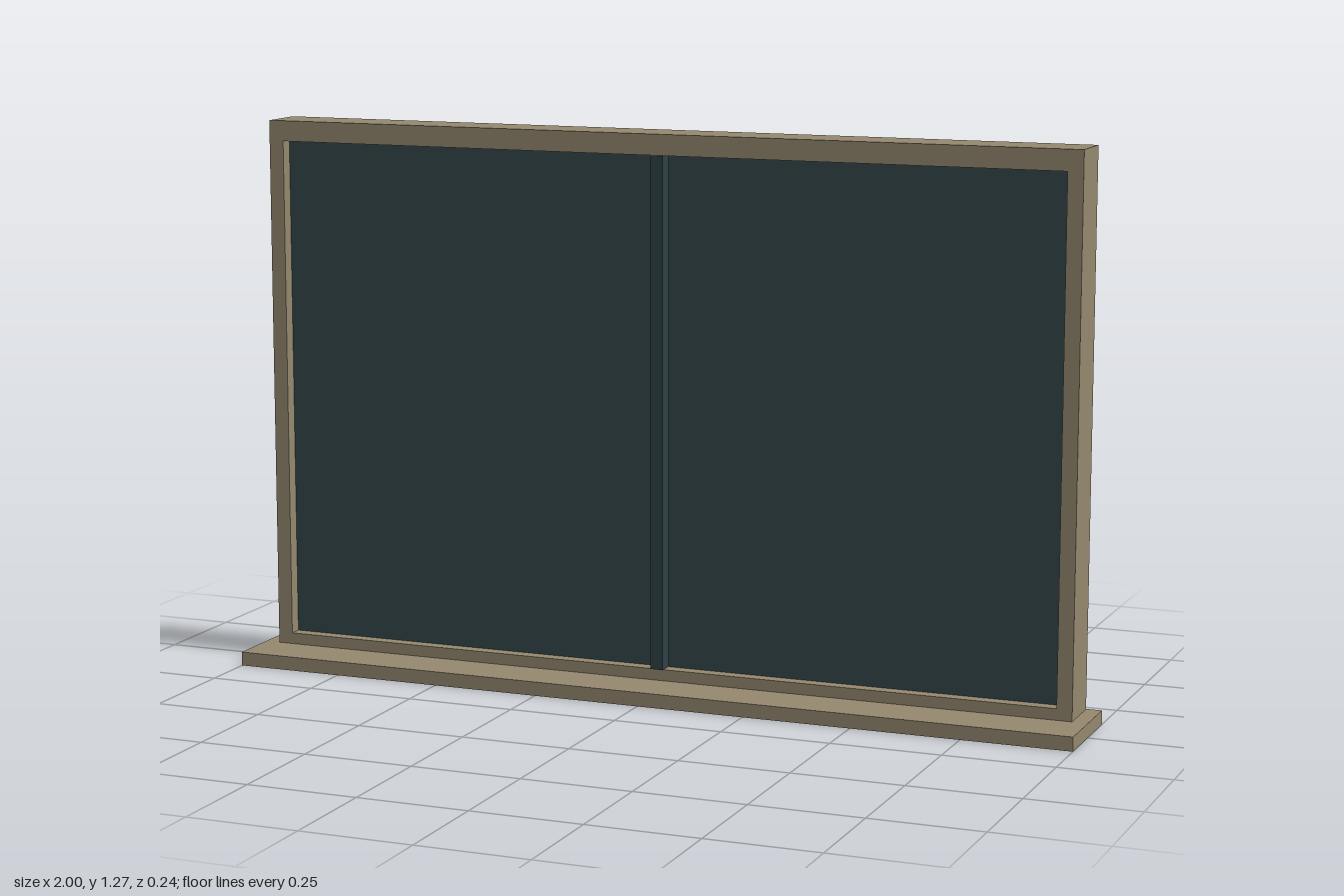
import * as THREE from 'three';

const material = (name, color, side = THREE.FrontSide) => {
  const m = new THREE.MeshStandardMaterial({ color, side });
  m.name = name;
  return m;
};

export function createModel() {
  const group = new THREE.Group();
  const frameMat = material('taupe frame', 0x94886f);
  const glassMat = material('dark teal glass', 0x34474c);
  const metalMat = material('dark metal', 0x2f4146);
  const curtainMat = material('brown fabric', 0x8c7460, THREE.DoubleSide);

  const add = (name, geometry, mat, x = 0, y = 0, z = 0) => {
    const mesh = new THREE.Mesh(geometry, mat);
    mesh.name = name;
    mesh.position.set(x, y, z);
    group.add(mesh);
    return mesh;
  };
  // Box given by its limits on each axis
  const box = (name, mat, [x0, x1], [y0, y1], [z0, z1]) =>
    add(name, new THREE.BoxGeometry(x1 - x0, y1 - y0, z1 - z0), mat,
      (x0 + x1) / 2, (y0 + y1) / 2, (z0 + z1) / 2);

  // Sill
  box('sill', frameMat, [-1, 1], [0, 0.032], [-0.119, 0.119]);

  // Surround with a rectangular opening
  const rect = (path, x, y0, y1) => path.moveTo(-x, y0).lineTo(x, y0).lineTo(x, y1).lineTo(-x, y1).closePath();
  const outline = rect(new THREE.Shape(), 0.965, 0.032, 1.267);
  outline.holes.push(rect(new THREE.Path(), 0.93, 0.058, 1.22));
  const surround = new THREE.ExtrudeGeometry(outline, { depth: 0.115, bevelEnabled: false });
  add('windowFrame', surround, frameMat, 0, 0, -0.115);

  // Glazing and centre bar
  box('glass', glassMat, [-0.93, 0.93], [0.058, 1.22], [-0.038, -0.03]);
  box('mullion', metalMat, [-0.015, 0.015], [0.058, 1.22], [-0.075, 0.005]);

  // Curtain rod
  const rod = new THREE.CylinderGeometry(0.006, 0.006, 1.82, 12);
  rod.rotateZ(Math.PI / 2);
  add('curtainRod', rod, metalMat, 0, 1.195, -0.097);

  // Pleated sheet: sine folds whose width and depth drift down the drop
  const curtainGeometry = (phase) => {
    const width = 0.37, height = 1.12;
    const g = new THREE.PlaneGeometry(width, height, 96, 16);
    const p = g.attributes.position;
    for (let i = 0; i < p.count; i++) {
      const u = p.getX(i) / width + 0.5;
      const drop = 0.5 - p.getY(i) / height;
      const angle = u * Math.PI * 12 + phase + 0.5 * Math.sin(u * 9 + phase + drop * 1.5);
      const fold = Math.sin(angle) + 0.2 * Math.sin(angle * 2 + drop * 2);
      p.setZ(i, fold * (0.008 + 0.004 * drop));
      p.setX(i, p.getX(i) + 0.003 * Math.sin(angle * 2) * drop);
    }
    g.computeVertexNormals();
    return g;
  };

  for (const side of [-1, 1]) {
    const label = side > 0 ? 'left' : 'right';
    add(label + 'Curtain', curtainGeometry(side > 0 ? 0.4 : 1.9), curtainMat, side * 0.695, 0.627, -0.097);

    // Rod bracket
    box(label + 'RodBracket', metalMat,
      side > 0 ? [0.9, 0.915] : [-0.915, -0.9], [1.18, 1.22], [-0.106, -0.088]);

    // Screws on the back of the frame
    for (const [x, y] of [[0.948, 1.12], [0.948, 0.155], [0.91, 1.244]]) {
      const screw = new THREE.CylinderGeometry(0.004, 0.004, 0.003, 10);
      screw.rotateX(Math.PI / 2);
      add(label + 'Screw', screw, metalMat, side * x, y, -0.1155);
    }
  }
  return group;
}
